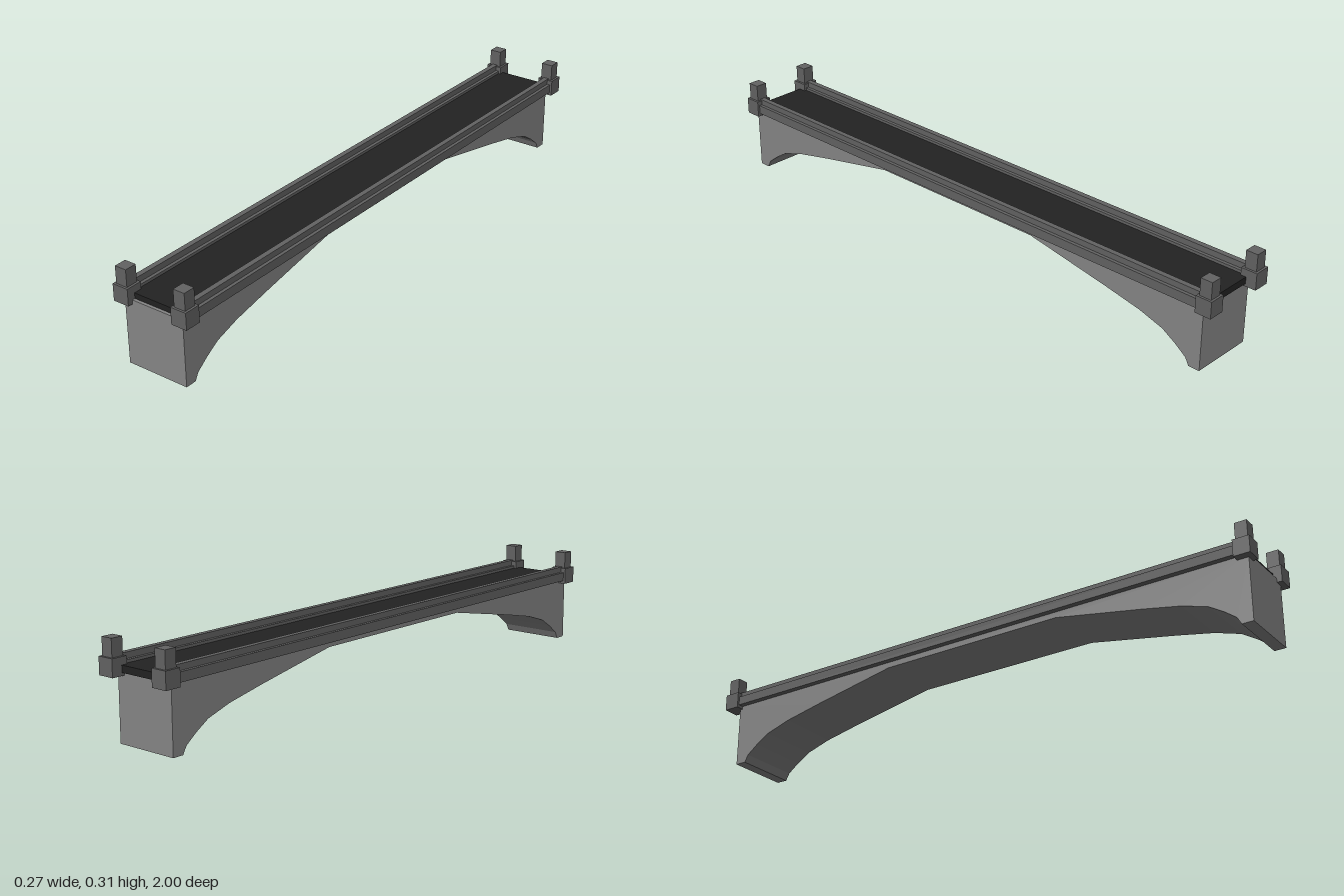
import * as THREE from 'three';

export function createModel() {
  const model = new THREE.Group();
  model.name = 'archBridge';

  const makeMaterial = (name, color) => {
    const m = new THREE.MeshStandardMaterial({ color });
    m.name = name;
    return m;
  };
  const stone = makeMaterial('stone', 0x858585);
  const darkStone = makeMaterial('darkStone', 0x626262);
  const asphalt = makeMaterial('asphalt', 0x222222);

  // Box given by its limits on each axis
  const box = (name, material, [x0, x1], [y0, y1], [z0, z1], parent = model) => {
    const mesh = new THREE.Mesh(new THREE.BoxGeometry(x1 - x0, y1 - y0, z1 - z0), material);
    mesh.position.set((x0 + x1) / 2, (y0 + y1) / 2, (z0 + z1) / 2);
    mesh.name = name;
    parent.add(mesh);
  };

  // Arched body: half of the arch curve, mirrored about the middle of the span
  const mid = 0.0135;
  const half = 0.9695;
  const arch = [
    [0.932, 0], [0.919, 0.024], [0.881, 0.053], [0.833, 0.083],
    [0.748, 0.11], [0.619, 0.137], [0.321, 0.194],
  ];
  const outline = [
    [half, 0.216], [-half, 0.216], [-half, 0],
    ...arch.map(([z, y]) => [-z, y]),
    ...[...arch].reverse(),
    [half, 0],
  ].map(([z, y]) => new THREE.Vector2(z + mid, y));
  const bodyGeometry = new THREE.ExtrudeGeometry(new THREE.Shape(outline), {
    depth: 0.214, bevelEnabled: false,
  });
  bodyGeometry.rotateY(-Math.PI / 2);
  const body = new THREE.Mesh(bodyGeometry, stone);
  body.position.x = 0.105;
  body.name = 'archBody';
  model.add(body);

  // Road deck
  box('roadDeck', asphalt, [-0.092, 0.09], [0.212, 0.234], [-0.965, 0.973]);

  for (const side of [-1, 1]) {
    const cx = side * 0.107 - 0.001;
    const across = (w) => [cx - w / 2, cx + w / 2];
    const name = side > 0 ? 'left' : 'right';

    // Stepped parapet
    const parapet = new THREE.Group();
    parapet.name = name + 'Parapet';
    model.add(parapet);
    box('parapetBase', darkStone, across(0.04), [0.213, 0.243], [-0.97, 0.97], parapet);
    box('parapetCap', darkStone, across(0.018), [0.243, 0.262], [-0.97, 0.97], parapet);

    // End posts
    for (const end of [-1, 1]) {
      const cz = end * 0.973;
      const along = (d) => [cz - d / 2, cz + d / 2];
      const post = new THREE.Group();
      post.name = name + (end > 0 ? 'Front' : 'Back') + 'Post';
      model.add(post);
      box('postBase', darkStone, across(0.055), [0.203, 0.258], along(0.054), post);
      box('postTop', darkStone, across(0.04), [0.258, 0.314], along(0.04), post);
    }
  }

  return model;
}
